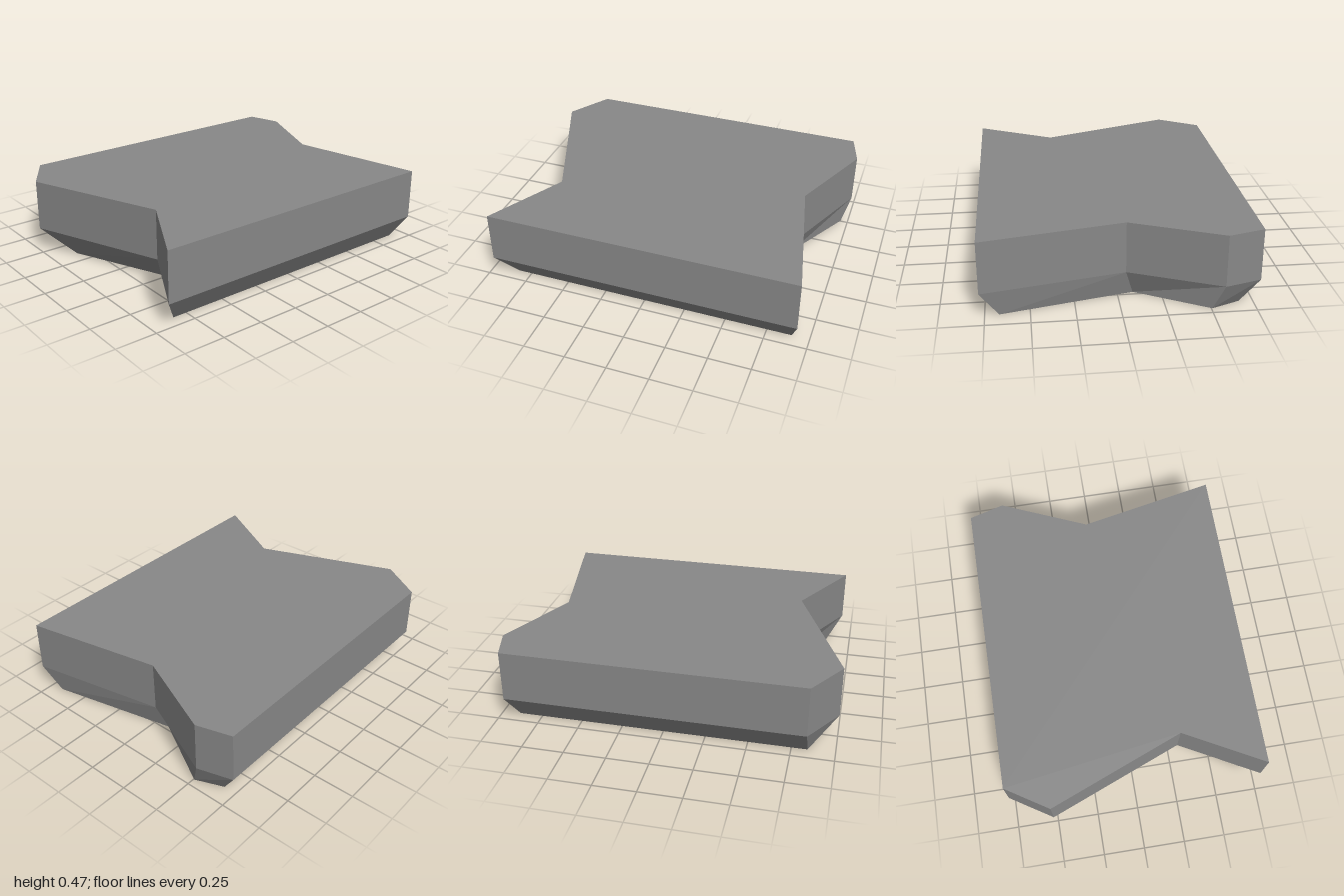
import * as THREE from 'three';

// Plan outlines as [x, z], running clockwise seen from above
const rim = [
  [-0.775, -0.94], [-0.565, -1], [-0.045, -0.775], [0.775, -0.94],
  [0.775, 0.935], [0.3, 0.68], [-0.52, 1], [-0.775, 0.84],
];
const foot = [
  [-0.67, -0.89], [-0.505, -0.955], [-0.09, -0.725], [0.67, -0.895],
  [0.67, 0.835], [0.257, 0.58], [-0.357, 0.842], [-0.67, 0.842],
];
const TOP = 0.465, SHOULDER = 0.157;

// Band of flat faces joining a lower outline to an upper one
function band(lower, yLow, upper, yHigh) {
  const pos = [];
  lower.forEach((_, i) => {
    const j = (i + 1) % lower.length;
    const low = (k) => [lower[k][0], yLow, lower[k][1]];
    const high = (k) => [upper[k][0], yHigh, upper[k][1]];
    for (const p of [low(j), low(i), high(i), low(j), high(i), high(j)]) pos.push(...p);
  });
  const geo = new THREE.BufferGeometry();
  geo.setAttribute('position', new THREE.Float32BufferAttribute(pos, 3));
  geo.computeVertexNormals();
  return geo;
}

// Flat cap over an outline, facing up (dir = 1) or down (dir = -1)
function cap(outline, y, dir) {
  const shape = new THREE.Shape(outline.map(([x, z]) => new THREE.Vector2(x, -dir * z)));
  return new THREE.ShapeGeometry(shape).rotateX(-dir * Math.PI / 2).translate(0, y, 0);
}

export function createModel() {
  const stone = new THREE.MeshStandardMaterial({ color: 0x888888, flatShading: true });
  stone.name = 'stoneGrey';
  const group = new THREE.Group();
  group.name = 'stoneSlab';
  const add = (name, geo) => {
    const mesh = new THREE.Mesh(geo, stone);
    mesh.name = name;
    group.add(mesh);
  };
  add('topFace', cap(rim, TOP, 1));
  add('sideWalls', band(rim, SHOULDER, rim, TOP));
  add('lowerBevel', band(foot, 0, rim, SHOULDER));
  add('underside', cap(foot, 0, -1));
  return group;
}
